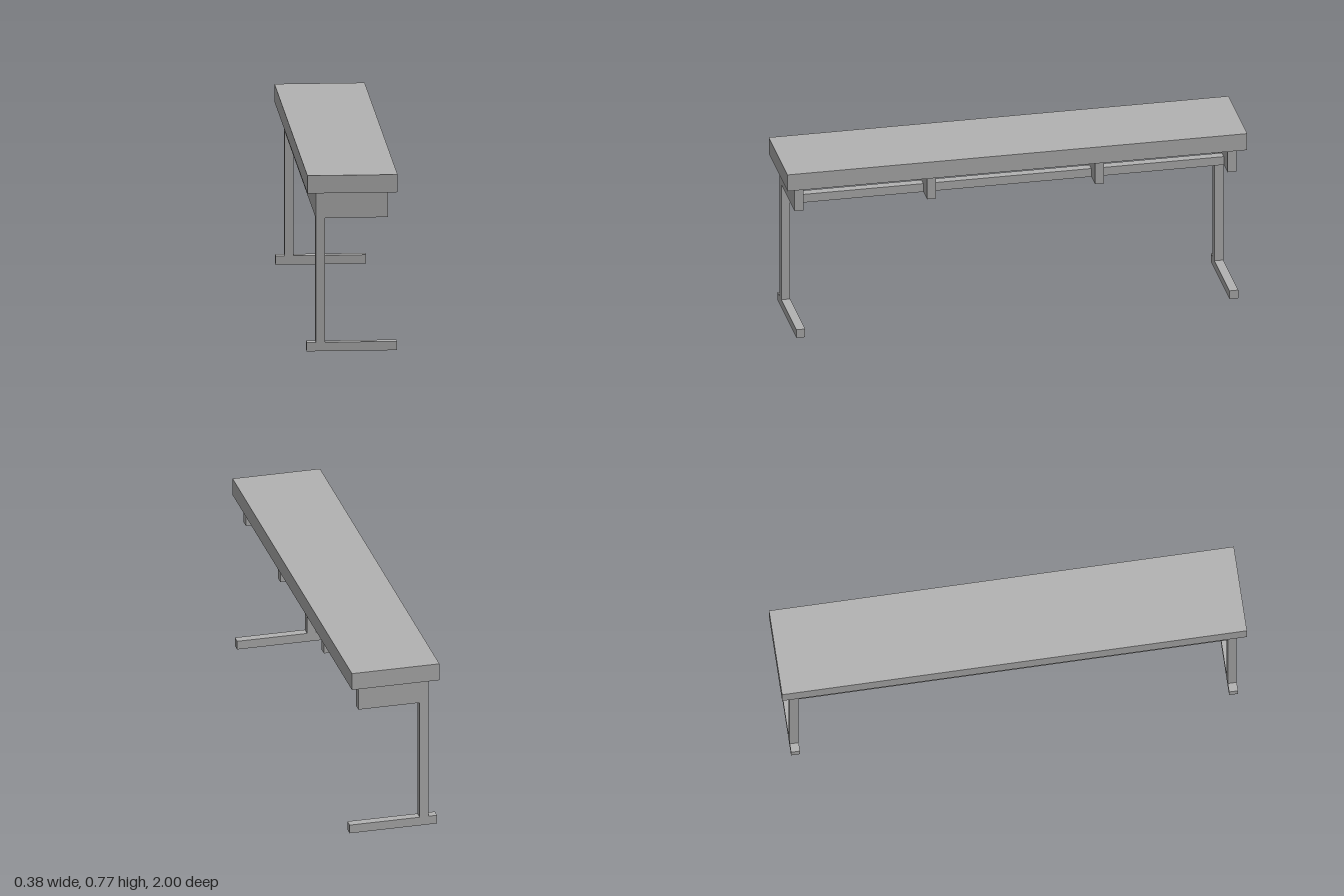
import * as THREE from 'three';

export function createModel() {
  const model = new THREE.Group();
  const grey = new THREE.MeshStandardMaterial({ color: 0xb2b2b2 });
  grey.name = 'plain grey';

  // Box given by its extents on each axis
  const box = (name, [x0, x1], [y0, y1], [z0, z1], parent = model) => {
    const mesh = new THREE.Mesh(new THREE.BoxGeometry(x1 - x0, y1 - y0, z1 - z0), grey);
    mesh.position.set((x0 + x1) / 2, (y0 + y1) / 2, (z0 + z1) / 2);
    mesh.name = name;
    parent.add(mesh);
  };

  const t = 0.0385; // thickness of every bar and panel
  const underside = 0.578, topBottom = 0.693, height = 0.77;
  const back = -0.154, reach = 0.154;

  // Thick bench top
  box('top', [-0.1925, 0.1925], [topBottom, height], [-1, 1]);

  // End frames: foot, post and a bracket under the top, as one outline
  const outline = [
    [-0.1925, 0], [0.1925, 0], [0.1925, t], [back + t, t], [back + t, underside],
    [reach, underside], [reach, topBottom], [back, topBottom], [back, t], [-0.1925, t],
  ];
  const frameShape = new THREE.Shape(outline.map(([x, y]) => new THREE.Vector2(x, y)));
  const frameGeometry = new THREE.ExtrudeGeometry(frameShape, { depth: t, bevelEnabled: false });
  for (const z of [-0.9615, 0.9615 - t]) {
    const frame = new THREE.Mesh(frameGeometry, grey);
    frame.position.z = z;
    frame.name = 'endFrame';
    model.add(frame);
  }

  // Two ribs dividing the space below the top
  const ribs = [-0.3655, 0.3655];
  for (const z of ribs) {
    box('rib', [back, reach], [underside, topBottom], [z - t / 2, z + t / 2]);
  }

  // Long panel and small rail, filling each bay between the frames and ribs
  const inner = 0.9615 - t;
  const bays = [
    [-inner, ribs[0] - t / 2],
    [ribs[0] + t / 2, ribs[1] - t / 2],
    [ribs[1] + t / 2, inner],
  ];
  for (const bay of bays) {
    box('panel', [back, back + t], [underside, topBottom], bay);
    box('rail', [t, 2 * t], [underside, underside + t], bay);
  }

  return model;
}
